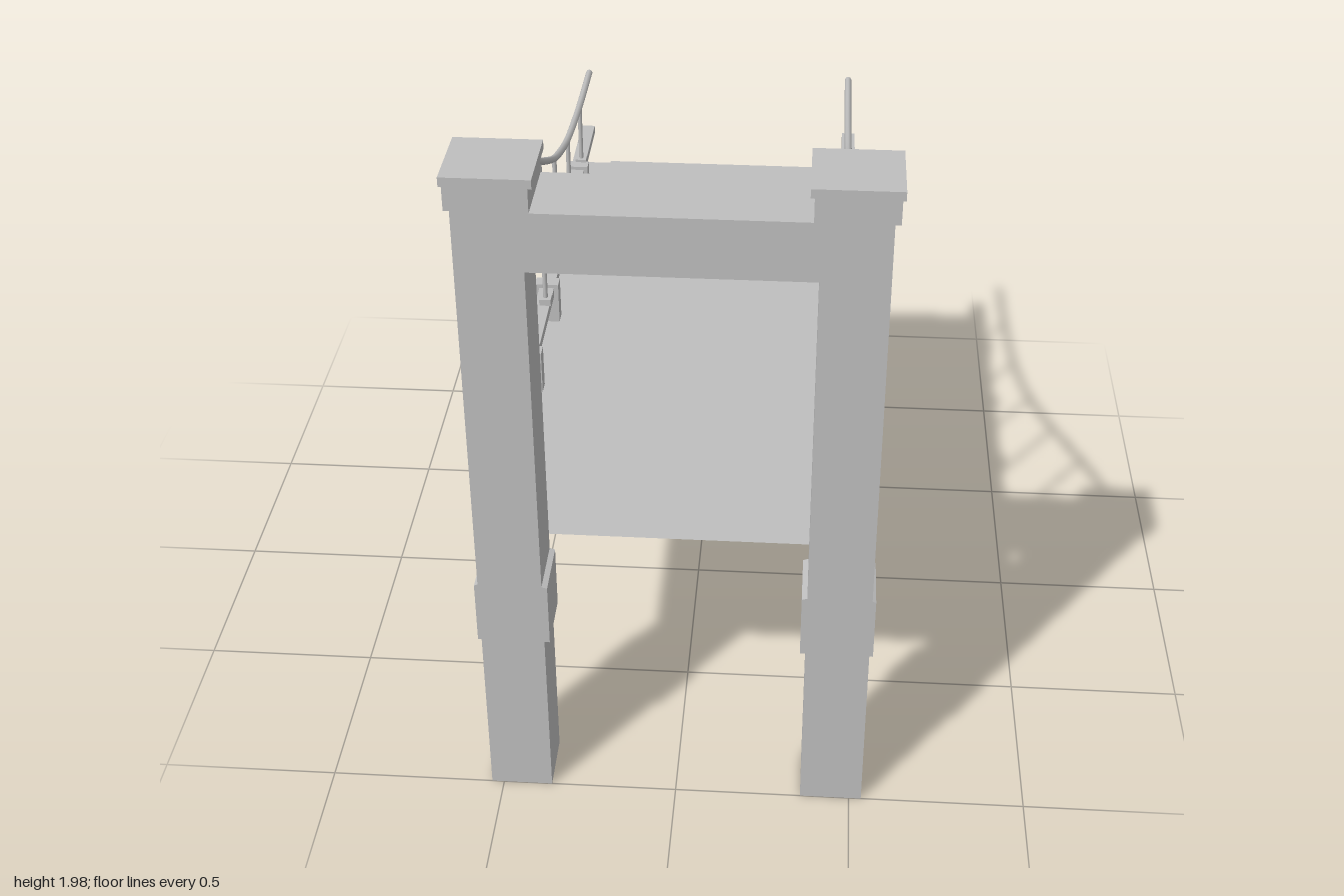
import * as THREE from 'three';

const concrete = new THREE.MeshStandardMaterial({ color: 0xbfbfbf });
concrete.name = 'plain grey';
concrete.side = THREE.DoubleSide;

const FRONT = 1, BACK = -1, TOWER_BACK = 0.785;

// Box given by its minimum and maximum on each axis
function block(name, x0, x1, y0, y1, z0, z1) {
  const g = new THREE.BoxGeometry(x1 - x0, y1 - y0, z1 - z0);
  g.translate((x0 + x1) / 2, (y0 + y1) / 2, (z0 + z1) / 2);
  const m = new THREE.Mesh(g, concrete);
  m.name = name;
  return m;
}

// Extrusion of a front outline along z
function prism(name, points, z0, z1) {
  const shape = new THREE.Shape(points.map(([x, y]) => new THREE.Vector2(x, y)));
  const g = new THREE.ExtrudeGeometry(shape, { depth: z1 - z0, bevelEnabled: false });
  g.translate(0, 0, z0);
  const m = new THREE.Mesh(g, concrete);
  m.name = name;
  return m;
}

// Section swept along z with open ends
function openSweep(name, points, z0, z1) {
  const pos = [];
  for (let i = 0; i < points.length - 1; i++) {
    const [ax, ay] = points[i], [bx, by] = points[i + 1];
    pos.push(ax, ay, z1, bx, by, z0, bx, by, z1, ax, ay, z1, ax, ay, z0, bx, by, z0);
  }
  const g = new THREE.BufferGeometry();
  g.setAttribute('position', new THREE.Float32BufferAttribute(pos, 3));
  g.computeVertexNormals();
  const m = new THREE.Mesh(g, concrete);
  m.name = name;
  return m;
}

function rectangle(x0, x1, y0, y1) {
  return [[x0, y0], [x0, y1], [x1, y1], [x1, y0], [x0, y0]];
}

// Tower leg with collar, capital and rear pilaster
function towerLeg(s) {
  const leg = new THREE.Group();
  leg.name = 'towerLeg';
  const outline = [
    [0.36, 0], [0.535, 0], [0.535, 0.54], [0.545, 0.54], [0.545, 0.73], [0.535, 0.735],
    [0.535, 1.89], [0.36, 1.89], [0.36, 0.735], [0.345, 0.73], [0.345, 0.54], [0.36, 0.54],
  ].map(([x, y]) => [s * x, y]);
  leg.add(prism('pillar', outline, 0.83, FRONT));
  const capital = [[0.342, 1.89], [0.55, 1.89], [0.55, 1.955], [0.558, 1.955], [0.558, 1.98],
    [0.332, 1.98], [0.332, 1.955], [0.342, 1.955]].map(([x, y]) => [s * x, y]);
  leg.add(prism('capital', capital, TOWER_BACK, FRONT));
  const [a, b] = s > 0 ? [0.375, 0.515] : [-0.515, -0.375];
  leg.add(block('rearPilaster', a, b, 0.83, 1.89, TOWER_BACK, 0.83));
  return leg;
}

// Hollow deck, open at both ends
function deck() {
  const g = new THREE.Group();
  g.name = 'deck';
  g.add(openSweep('topSlab', rectangle(-0.51, 0.51, 0.96, 0.993), BACK, TOWER_BACK));
  g.add(openSweep('roadway', [[-0.375, 0.993], [-0.375, 1], [0.375, 1], [0.375, 0.993]], BACK, TOWER_BACK));
  g.add(openSweep('bottomSlab', rectangle(-0.51, 0.51, 0.785, 0.83), BACK, 0.83));
  for (const s of [-1, 1]) {
    g.add(openSweep('sideGirder', [[s * 0.505, 0.83], [s * 0.505, 0.96]], BACK, TOWER_BACK));
    for (const z of [0.36, -0.4]) {
      const x = s * 0.51;
      g.add(block('girderRib', x - 0.007, x + 0.007, 0.835, 0.95, z - 0.007, z + 0.007));
    }
  }
  return g;
}

// Main cable, hangers and railing for one side
function cableSide(s) {
  const g = new THREE.Group();
  g.name = 'cableSide';
  const cx = s * 0.441;
  const path = [[0.79, 1.918], [0.7, 1.88], [0.48, 1.77], [0.18, 1.605], [0, 1.515],
    [-0.11, 1.465], [-0.25, 1.418], [-0.41, 1.378], [-0.72, 1.345], [-1, 1.337]];
  const curve = new THREE.CatmullRomCurve3(path.map(([z, y]) => new THREE.Vector3(cx, y, z)));
  const cable = new THREE.Mesh(new THREE.TubeGeometry(curve, 48, 0.011, 8), concrete);
  cable.name = 'mainCable';
  g.add(cable);

  const hangers = [[0.765, 1.905], [0.48, 1.77], [0.18, 1.605], [-0.11, 1.465], [-0.41, 1.378], [-0.72, 1.345]];
  for (const [z, top] of hangers) {
    const h = new THREE.Mesh(new THREE.CylinderGeometry(0.007, 0.007, top - 1.135, 8), concrete);
    h.name = 'hanger';
    h.position.set(cx, (top + 1.135) / 2, z);
    g.add(h, block('hangerFoot', cx - 0.017, cx + 0.017, 1.135, 1.155, z - 0.017, z + 0.017));
  }

  const rx = s * 0.45;
  g.add(openSweep('rail', rectangle(rx - 0.022, rx + 0.022, 1.108, 1.135), BACK, TOWER_BACK));
  for (const z of [0.455, 0.075, -0.305, -0.69]) {
    g.add(block('railBracket', rx - 0.035, rx + 0.035, 1.018, 1.146, z - 0.021, z + 0.021));
  }
  return g;
}

export function createModel() {
  const model = new THREE.Group();
  model.name = 'suspensionBridgeSection';
  model.add(deck(), block('crossBeam', -0.36, 0.36, 1.725, 1.89, TOWER_BACK, FRONT));
  for (const s of [-1, 1]) model.add(towerLeg(s), cableSide(s));
  return model;
}
